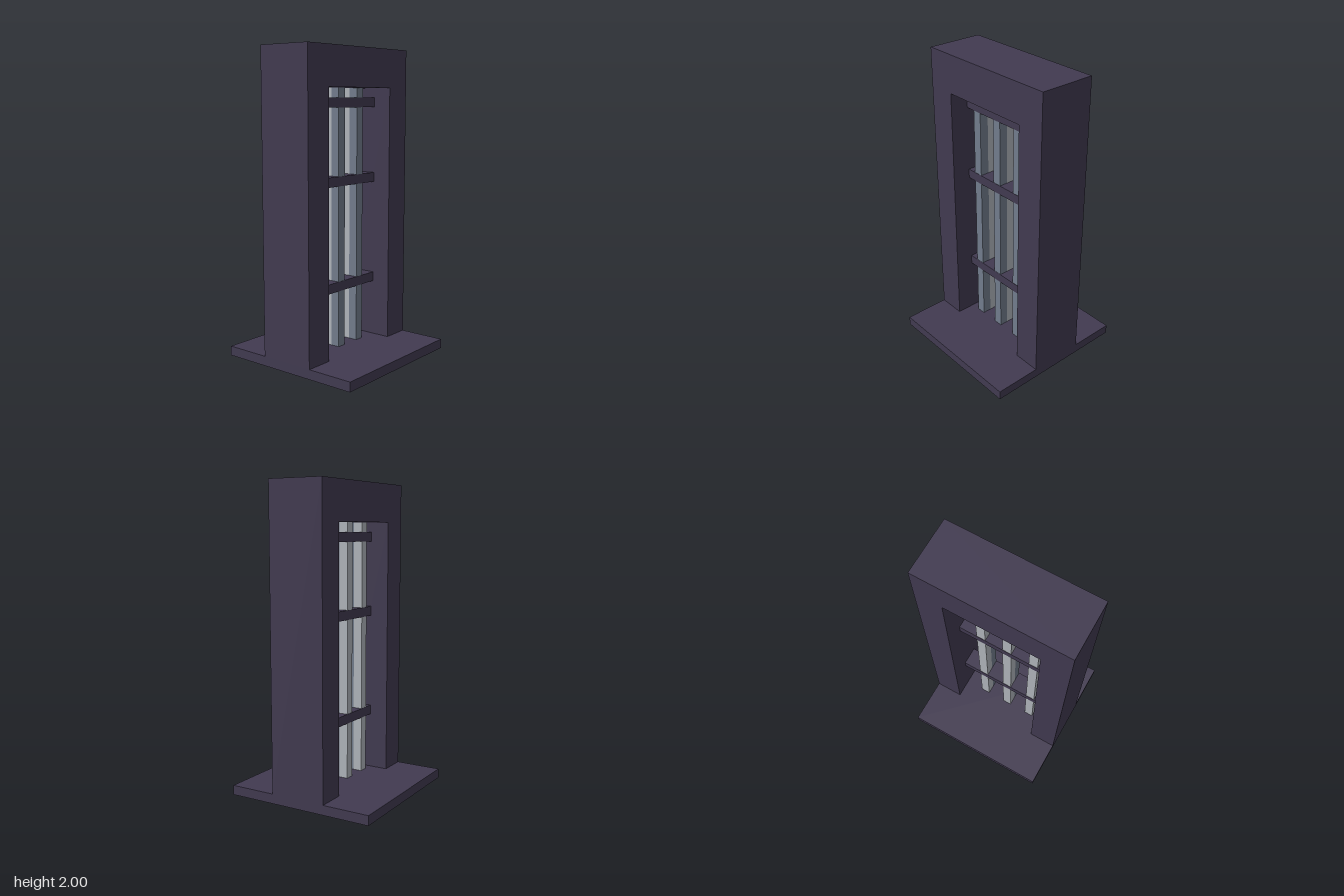
import * as THREE from 'three';

const U = 1 / 16; // the whole model sits on a 1/16 grid

function material(name, color) {
  const m = new THREE.MeshStandardMaterial({ color });
  m.name = name;
  return m;
}

export function createModel() {
  const root = new THREE.Group();
  root.name = 'barredGate';
  const stone = material('dark violet stone', 0x413a50);
  const steel = material('blue grey steel', 0x727c8c);
  const paleSteel = material('pale grey steel', 0xb0b5bb);

  // Box given by its minimum and maximum corners, in grid units
  function box(name, mat, [x0, y0, z0], [x1, y1, z1], parent = root) {
    const geo = new THREE.BoxGeometry((x1 - x0) * U, (y1 - y0) * U, (z1 - z0) * U);
    const mesh = new THREE.Mesh(geo, mat);
    mesh.position.set((x0 + x1) * U / 2, (y0 + y1) * U / 2, (z0 + z1) * U / 2);
    mesh.name = name;
    parent.add(mesh);
  }

  // Square base plate
  box('basePlate', stone, [-8, 0, -8], [8, 1, 8]);

  // Door frame: one extruded arch, open at the bottom
  const arch = new THREE.Shape(
    [[-8, 1], [-5, 1], [-5, 28], [5, 28], [5, 1], [8, 1], [8, 32], [-8, 32]]
      .map(([x, y]) => new THREE.Vector2(x * U, y * U))
  );
  const frameGeo = new THREE.ExtrudeGeometry(arch, { depth: 6 * U, bevelEnabled: false });
  frameGeo.translate(0, 0, -3 * U);
  const frame = new THREE.Mesh(frameGeo, stone);
  frame.name = 'doorFrame';
  root.add(frame);

  // Cross rails spanning the opening
  const rails = new THREE.Group();
  rails.name = 'crossRails';
  root.add(rails);
  for (const y of [7, 18, 26]) box('crossRail', stone, [-5, y, -1], [5, y + 1, 1], rails);

  // Upright bars, a front and a back half each, set just inside the rails
  const bars = new THREE.Group();
  bars.name = 'uprightBars';
  root.add(bars);
  for (const x of [-4, -1, 2]) {
    box('frontBar', steel, [x, 1, 0], [x + 1, 28, 0.97], bars);
    box('backBar', paleSteel, [x, 1, -0.97], [x + 1, 28, 0], bars);
  }
  return root;
}
